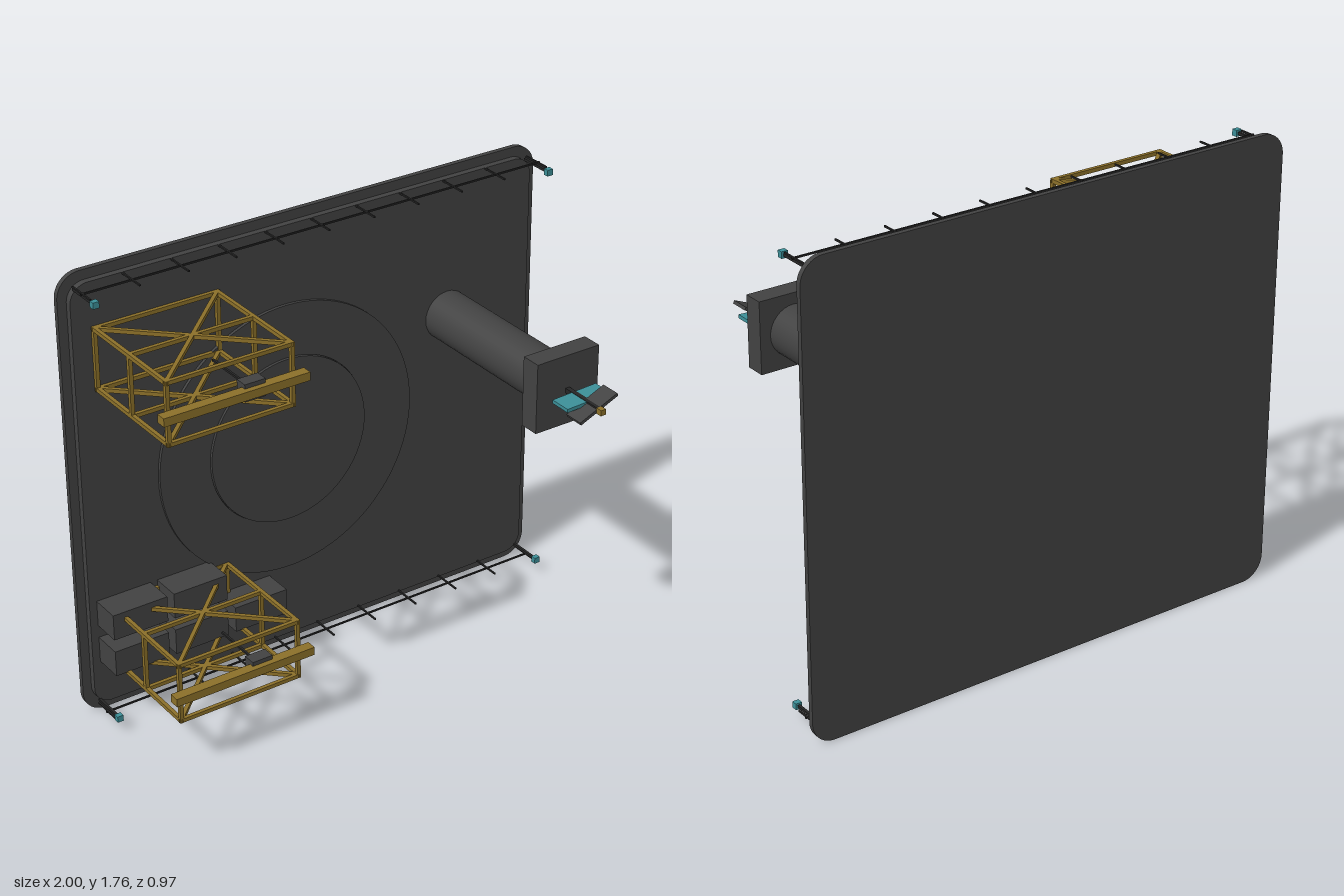
import * as THREE from 'three';

const mat = (name, color) => {
  const m = new THREE.MeshStandardMaterial({ color });
  m.name = name;
  return m;
};

export function createModel() {
  const root = new THREE.Group();
  root.name = 'panelAssembly';
  const grey = mat('charcoal', 0x424242);
  const dark = mat('black metal', 0x262626);
  const gold = mat('gold foil', 0x8c7029);
  const teal = mat('teal', 0x3c8f98);

  // Box given by its min and max corners
  const box = (name, m, [x0, y0, z0], [x1, y1, z1], parent = root) => {
    const mesh = new THREE.Mesh(new THREE.BoxGeometry(x1 - x0, y1 - y0, z1 - z0), m);
    mesh.position.set((x0 + x1) / 2, (y0 + y1) / 2, (z0 + z1) / 2);
    mesh.name = name;
    parent.add(mesh);
    return mesh;
  };
  // Square bar between two points
  const bar = (name, m, a, b, t, parent = root) => {
    const p = new THREE.Vector3(...a), q = new THREE.Vector3(...b);
    const mesh = new THREE.Mesh(new THREE.BoxGeometry(t, t, p.distanceTo(q) + t * 0.9), m);
    mesh.position.copy(p).add(q).multiplyScalar(0.5);
    mesh.lookAt(q);
    mesh.name = name;
    parent.add(mesh);
  };
  // Rounded rectangular plate
  const plate = (name, w, y0, y1, r, z0, z1) => {
    const s = new THREE.Shape();
    s.moveTo(-w + r, y0);
    s.absarc(w - r, y0 + r, r, -Math.PI / 2, 0, false);
    s.absarc(w - r, y1 - r, r, 0, Math.PI / 2, false);
    s.absarc(-w + r, y1 - r, r, Math.PI / 2, Math.PI, false);
    s.absarc(-w + r, y0 + r, r, Math.PI, Math.PI * 1.5, false);
    const mesh = new THREE.Mesh(
      new THREE.ExtrudeGeometry(s, { depth: z1 - z0, bevelEnabled: false, curveSegments: 10 }), grey);
    mesh.position.z = z0;
    mesh.name = name;
    root.add(mesh);
  };
  plate('backPlate', 1, 0, 1.765, 0.09, -0.485, -0.465);
  plate('innerPlate', 0.965, 0.04, 1.728, 0.07, -0.465, -0.44);

  // Round ring and inner disc on the plate
  const ringShape = new THREE.Shape().absarc(0, 0, 0.54, 0, Math.PI * 2, false);
  ringShape.holes.push(new THREE.Path().absarc(0, 0, 0.332, 0, Math.PI * 2, true));
  const ring = new THREE.Mesh(
    new THREE.ExtrudeGeometry(ringShape, { depth: 0.012, bevelEnabled: false, curveSegments: 48 }), grey);
  ring.position.set(-0.12, 0.885, -0.44);
  ring.name = 'outerRing';
  const disc = new THREE.Mesh(new THREE.CylinderGeometry(0.33, 0.33, 0.02, 64), grey);
  disc.rotation.x = Math.PI / 2;
  disc.position.set(-0.12, 0.885, -0.43);
  disc.name = 'innerDisc';
  root.add(ring, disc);

  // Boom with its head, vane and blade
  const boom = new THREE.Mesh(new THREE.CylinderGeometry(0.096, 0.096, 0.65, 32), grey);
  boom.rotation.x = Math.PI / 2;
  boom.position.set(0.595, 1.18, -0.12);
  boom.name = 'boom';
  root.add(boom);
  box('boomHead', grey, [0.46, 1.045, 0.2], [0.732, 1.318, 0.28]);
  box('shaft', dark, [0.587, 1.171, 0.28], [0.605, 1.189, 0.46]);
  const vane = box('vane', teal, [0.503, 1.174, 0.315], [0.695, 1.188, 0.4]);
  vane.rotation.z = 0.04;
  const blade = box('blade', grey, [0.51, 1.175, 0.38], [0.685, 1.187, 0.457]);
  blade.rotation.z = 0.4;
  box('shaftTip', gold, [0.585, 1.168, 0.457], [0.607, 1.19, 0.482]);

  // Two lattice cages
  const L = -0.883, R = -0.396, B = -0.433, M = -0.2, F = 0.037, T = 0.015;
  for (const dy of [0, -1.105]) {
    const cage = new THREE.Group();
    cage.name = dy ? 'lowerCage' : 'upperCage';
    cage.position.y = dy;
    root.add(cage);
    const y0 = 1.323, y1 = 1.553;
    for (const y of [y0, y1]) {
      for (const x of [L, R]) bar('sideRail', gold, [x, y, B], [x, y, F], T, cage);
      for (const z of [B, M, F]) bar('crossRail', gold, [L, y, z], [R, y, z], T, cage);
      bar('brace', gold, [L, y, B], [R, y, F], T, cage);
      bar('brace', gold, [R, y, B], [L, y, F], T, cage);
    }
    for (const x of [L, R]) for (const z of [B, M, F])
      bar('post', gold, [x, y0, z], [x, y1, z], T, cage);
    box('frontBeam', gold, [-0.925, 1.422, 0.045], [-0.355, 1.454, 0.085], cage);
    box('drive', grey, [-0.6, 1.404, 0.013], [-0.518, 1.47, 0.063], cage);
    bar('driveRod', dark, [-0.56, 1.437, M], [-0.56, 1.437, 0.02], 0.008, cage);
  }

  // Equipment boxes
  for (const [x, y] of [[-0.935, 0.375], [-0.685, 0.375], [-0.935, 0.222], [-0.685, 0.222], [-0.43, 0.222]])
    box('equipmentBox', grey, [x, y, -0.44], [x + 0.222, y + 0.103, -0.323]);

  // Edge wires with pins, and corner lamps
  for (const [yw, yl] of [[1.725, 1.715], [0.045, 0.057]]) {
    bar('edgeWire', dark, [-0.955, yw, -0.375], [0.955, yw, -0.375], 0.006);
    for (let i = 0; i <= 10; i++) {
      const x = -0.95 + i * 0.19;
      bar('wirePin', dark, [x, yw, -0.44], [x, yw, -0.325], 0.006);
    }
    for (const s of [-1, 1]) {
      bar('lampArm', dark, [s * 0.945, yl, -0.44], [s * 0.945, yl, -0.315], 0.01);
      box('cornerLamp', teal, [s * 0.945 - 0.012, yl - 0.012, -0.315], [s * 0.945 + 0.012, yl + 0.012, -0.293]);
    }
  }
  return root;
}
